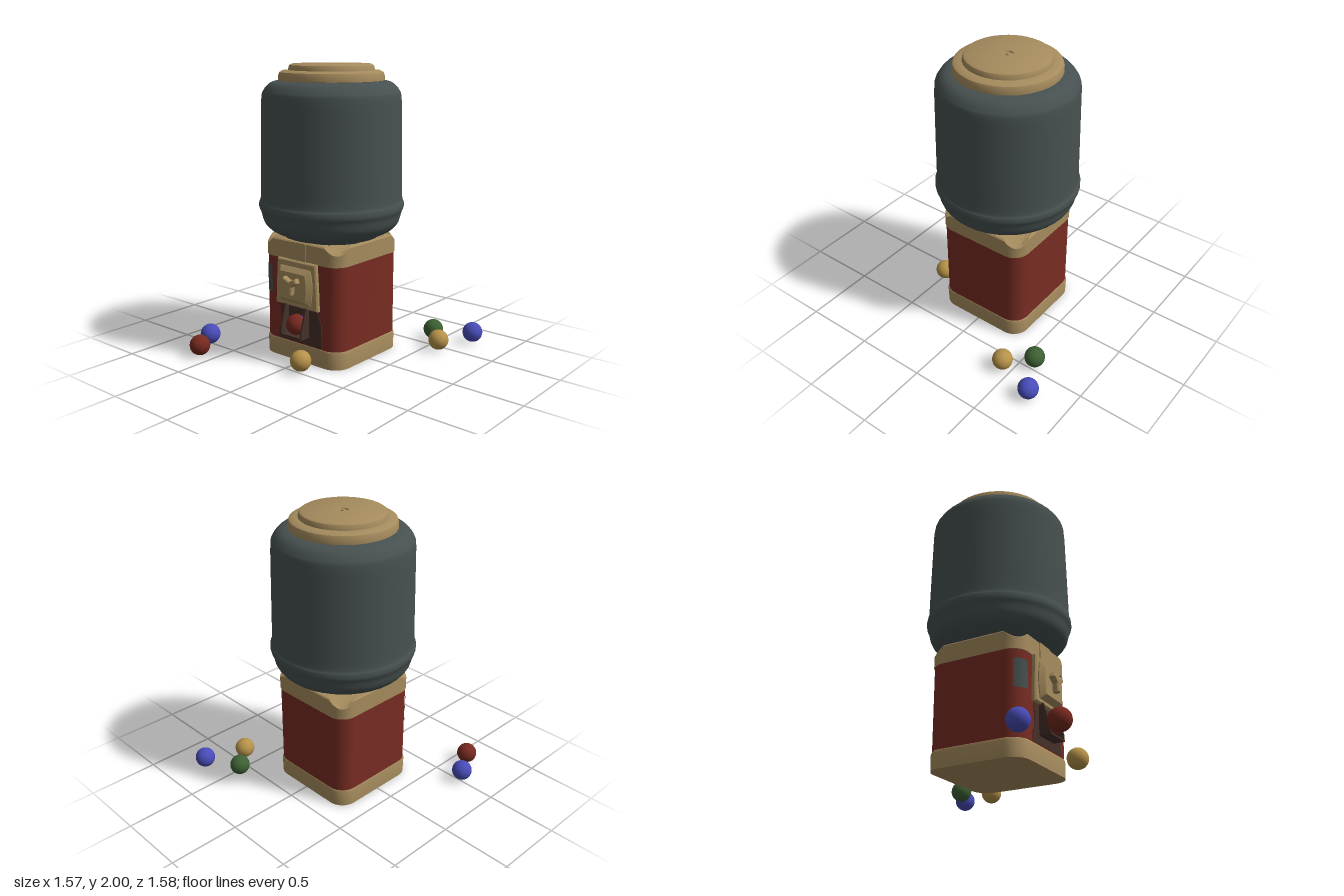
import * as THREE from 'three';
import { toCreasedNormals } from 'three/addons/utils/BufferGeometryUtils.js';

const CX = -0.02, CZ = -0.007;
const paint = (name, color) => {
  const m = new THREE.MeshStandardMaterial({ color });
  m.name = name;
  return m;
};

// Loft through rounded-square rings: { h: half width, r: corner radius, y, dip: corner drop }
function loft(rings, seg = 8) {
  const pos = [], idx = [], n = 4 * (seg + 1);
  for (const { h, r, y, dip = 0 } of rings) {
    for (let q = 0; q < 4; q++) {
      for (let s = 0; s <= seg; s++) {
        const t = s / seg, a = (q + t) * Math.PI / 2, mid = (q + 0.5) * Math.PI / 2;
        const sx = Math.sign(Math.cos(mid)), sz = Math.sign(Math.sin(mid));
        pos.push(sx * (h - r) + r * Math.cos(a), y - dip * Math.sin(Math.PI * t), sz * (h - r) + r * Math.sin(a));
      }
    }
  }
  for (let i = 0; i < rings.length - 1; i++) {
    for (let j = 0; j < n; j++) {
      const a = i * n + j, b = i * n + (j + 1) % n;
      idx.push(a, a + n, b, b, a + n, b + n);
    }
  }
  const g = new THREE.BufferGeometry();
  g.setAttribute('position', new THREE.Float32BufferAttribute(pos, 3));
  g.setIndex(idx);
  return toCreasedNormals(g, 0.6);
}

// Flat shape pushed forward from z0 to z1 with a chamfered front
function slab(shape, z0, z1, bevel) {
  const g = new THREE.ExtrudeGeometry(shape, {
    depth: z1 - z0 - bevel, bevelEnabled: bevel > 0, bevelThickness: bevel,
    bevelSize: bevel, bevelOffset: -bevel, bevelSegments: 1, curveSegments: 8,
  });
  g.translate(0, 0, z0);
  return toCreasedNormals(g, 0.4);
}

// Panel with sides that bow outward
function bowed(topHalf, bottomHalf, y0, y1, bow) {
  const s = new THREE.Shape(), ym = (y0 + y1) / 2, m = (topHalf + bottomHalf) / 2 + bow;
  s.moveTo(-bottomHalf, y0);
  s.lineTo(bottomHalf, y0);
  s.quadraticCurveTo(m, ym, topHalf, y1);
  s.lineTo(-topHalf, y1);
  s.quadraticCurveTo(-m, ym, -bottomHalf, y0);
  return s;
}

const polygon = (pts) => new THREE.Shape(pts.map(([x, y]) => new THREE.Vector2(x, y)));

export function createModel() {
  const tan = paint('tan metal', 0xa68c5e);
  const glass = paint('smoky glass', 0x475050);
  const red = paint('red paint', 0x782c23);
  const brown = paint('dark brown', 0x46302a);
  const ballRed = paint('red candy', 0x76291f);
  const blue = paint('blue candy', 0x484cb8);
  const yellow = paint('yellow candy', 0xb6924a);
  const green = paint('green candy', 0x3d6033);

  const model = new THREE.Group();
  const machine = new THREE.Group();
  machine.name = 'machine';
  machine.position.set(CX, 0, CZ);
  model.add(machine);
  const add = (name, geo, mat, parent = machine) => {
    const mesh = new THREE.Mesh(geo, mat);
    mesh.name = name;
    parent.add(mesh);
    return mesh;
  };

  // Square cabinet: base, body and collar with dipped corners
  add('base', loft([
    { h: 0.001, r: 0.0005, y: 0 }, { h: 0.347, r: 0.115, y: 0 }, { h: 0.349, r: 0.115, y: 0.105 },
    { h: 0.345, r: 0.115, y: 0.122 }, { h: 0.334, r: 0.11, y: 0.132 }, { h: 0.3, r: 0.1, y: 0.132 },
  ]), tan);
  add('body', loft([{ h: 0.343, r: 0.115, y: 0.125 }, { h: 0.343, r: 0.115, y: 0.71 }]), red);
  add('collar', loft([
    { h: 0.335, r: 0.11, y: 0.703 }, { h: 0.347, r: 0.115, y: 0.706 },
    { h: 0.347, r: 0.115, y: 0.828, dip: 0.045 }, { h: 0.34, r: 0.115, y: 0.836, dip: 0.045 },
    { h: 0.3, r: 0.28, y: 0.836 }, { h: 0.001, r: 0.0005, y: 0.836 },
  ]), tan);
  add('collarTab', new THREE.BoxGeometry(0.145, 0.126, 0.02).translate(0, 0.77, 0.342), tan);

  // Globe
  const profile = new THREE.SplineCurve([
    [0.32, 0.825], [0.345, 0.848], [0.42, 0.885], [0.465, 0.935], [0.484, 1.0], [0.498, 1.035],
    [0.497, 1.07], [0.486, 1.11], [0.482, 1.3], [0.476, 1.6], [0.471, 1.78], [0.455, 1.83],
    [0.42, 1.87], [0.375, 1.888], [0.32, 1.892],
  ].map(([r, y]) => new THREE.Vector2(r, y)));
  add('globe', new THREE.LatheGeometry(profile.getPoints(70), 40), glass);

  // Two-tier lid with a small centre bolt
  const lid = [
    [0.34, 1.885], [0.357, 1.892], [0.357, 1.925], [0.349, 1.946], [0.328, 1.957], [0.291, 1.959],
    [0.288, 1.978], [0.282, 1.992], [0.268, 2.0], [0.035, 2.0], [0.031, 1.99], [0.015, 1.99],
    [0.013, 1.998], [0, 1.998],
  ].map(([r, y]) => new THREE.Vector2(r, y));
  add('lid', toCreasedNormals(new THREE.LatheGeometry(lid, 40), 0.6), tan);

  // Coin mechanism
  add('coinPlate', slab(bowed(0.17, 0.188, 0.39, 0.71, 0.004), 0.33, 0.372, 0.008), tan);
  add('coinPanel', slab(bowed(0.132, 0.132, 0.42, 0.667, 0.035), 0.36, 0.408, 0.03), tan);
  const lobes = [];
  for (let k = 0; k < 3; k++) {
    const a = -Math.PI / 2 + k * Math.PI * 2 / 3;
    for (const [da, r] of [[-0.24, 0.073], [0.24, 0.073], [Math.PI / 3, 0.026]]) {
      lobes.push([r * Math.cos(a + da), 0.56 + r * Math.sin(a + da)]);
    }
  }
  add('turnKnob', slab(polygon(lobes), 0.39, 0.447, 0.008), tan);

  // Dispenser recess and chute
  add('chuteSurround', slab(polygon([
    [-0.185, 0.132], [0.205, 0.132], [0.2, 0.3], [0.17, 0.37], [0.165, 0.41], [-0.165, 0.41], [-0.16, 0.24], [-0.18, 0.2],
  ]), 0.338, 0.347, 0), brown);
  const side = polygon([[0.33, 0.19], [0.428, 0.19], [0.425, 0.235], [0.378, 0.4], [0.33, 0.4]]);
  for (const x of [-0.088, 0.095]) {
    const wall = new THREE.ExtrudeGeometry(side, { depth: 0.012, bevelEnabled: false });
    add('chuteWall', wall.rotateY(-Math.PI / 2).translate(x, 0, 0), brown);
  }
  add('chuteFloor', new THREE.BoxGeometry(0.19, 0.012, 0.095).translate(0, 0.194, 0.38), brown);

  // Worn label wrapped round the front corner
  const label = new THREE.CylinderGeometry(0.119, 0.119, 0.195, 10, 1, true, -1.02, 0.92);
  add('cornerLabel', label.translate(-0.228, 0.545, 0.228), glass);

  // Candy balls in the chute and on the ground
  const balls = new THREE.Group();
  balls.name = 'candyBalls';
  model.add(balls);
  const sphere = new THREE.SphereGeometry(0.071, 24, 16);
  for (const [x, y, z, mat] of [
    [-0.02, 0.268, 0.362, ballRed], [-0.01, 0.262, 0.33, blue],
    [-0.718, 0.081, 0.518, blue], [-0.604, 0.081, 0.718, ballRed], [0.125, 0.081, 0.483, yellow],
    [0.458, 0.081, -0.597, green], [0.607, 0.081, -0.434, yellow], [0.711, 0.081, -0.724, blue],
  ]) {
    add('candyBall', sphere, mat, balls).position.set(x, y, z);
  }
  return model;
}
